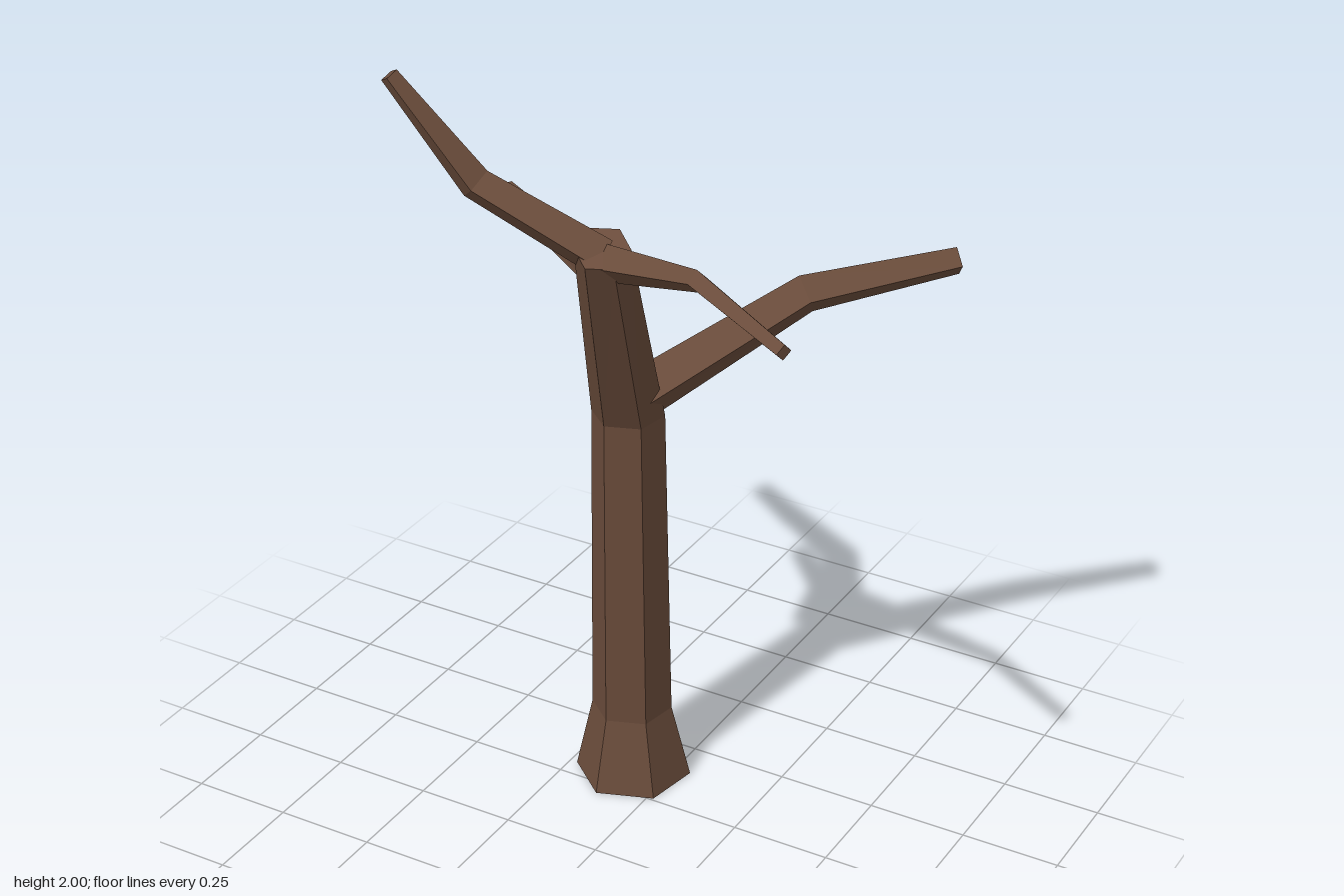
import * as THREE from 'three';

const V = (x, y, z) => new THREE.Vector3(x, y, z);

// Faceted limb: rings [x, y, z, radius] joined along a bent path, with capped ends.
// 'ref' is the direction the ring angle is measured from; 'flat' rings lie level.
function limbGeometry(rings, sides, phaseDeg, ref, flat = 0) {
  const centres = rings.map(r => V(r[0], r[1], r[2]));
  const last = rings.length - 1;
  const loops = centres.map((c, i) => {
    const t = V(0, 0, 0);
    if (i < flat) t.set(0, 1, 0);
    else {
      if (i > 0) t.add(c.clone().sub(centres[i - 1]).normalize());
      if (i < last) t.add(centres[i + 1].clone().sub(c).normalize());
      t.normalize();
    }
    const u = ref.clone().addScaledVector(t, -ref.dot(t)).normalize();
    const v = t.clone().cross(u);
    return Array.from({ length: sides }, (_, k) => {
      const a = THREE.MathUtils.degToRad(phaseDeg) + (k / sides) * Math.PI * 2;
      return c.clone()
        .addScaledVector(u, Math.cos(a) * rings[i][3])
        .addScaledVector(v, Math.sin(a) * rings[i][3]);
    });
  });

  const points = [];
  for (let k = 0; k < sides; k++) {
    const n = (k + 1) % sides;
    for (let i = 0; i < last; i++) {
      const a = loops[i][k], b = loops[i][n], c = loops[i + 1][n], d = loops[i + 1][k];
      points.push(a, b, c, a, c, d);
    }
    points.push(centres[0], loops[0][n], loops[0][k]);
    points.push(centres[last], loops[last][k], loops[last][n]);
  }
  // Unshared corners give flat facets
  const geometry = new THREE.BufferGeometry().setFromPoints(points);
  geometry.computeVertexNormals();
  return geometry;
}

export function createModel() {
  const tree = new THREE.Group();
  tree.name = 'bareTree';
  const bark = new THREE.MeshStandardMaterial({ color: 0x6a4c3b });
  bark.name = 'bark brown';

  const add = (name, geometry) => {
    const mesh = new THREE.Mesh(geometry, bark);
    mesh.name = name;
    tree.add(mesh);
  };

  // Six-sided trunk: flared foot, straight bole, upper part leaning forward
  add('trunk', limbGeometry([
    [-0.095, 0, -0.1, 0.145],
    [-0.093, 0.2, -0.09, 0.1],
    [-0.065, 1.06, -0.027, 0.088],
    [0.038, 1.625, 0.26, 0.064],
  ], 6, 80, V(1, 0, 0), 3));

  // Four-sided branches, each with one knee
  const branches = [
    ['lowerLeftBranch', 0, [
      [-0.04, 1.11, -0.02, 0.066], [0.28, 1.36, -0.25, 0.05], [0.547, 1.404, -0.5, 0.035]]],
    ['lowerRightBranch', 45, [
      [-0.09, 1.095, -0.06, 0.098], [-0.228, 1.245, -0.258, 0.046], [-0.62, 1.372, -0.38, 0.026]]],
    ['upperRightBranch', 0, [
      [0.03, 1.595, 0.245, 0.05], [-0.245, 1.742, 0.322, 0.042], [-0.415, 1.985, 0.39, 0.022]]],
    ['upperLeftBranch', 0, [
      [0.03, 1.585, 0.245, 0.046], [0.33, 1.66, 0.362, 0.026], [0.607, 1.622, 0.498, 0.019]]],
  ];
  for (const [name, phase, rings] of branches) {
    add(name, limbGeometry(rings, 4, phase, V(0, 1, 0)));
  }
  return tree;
}
